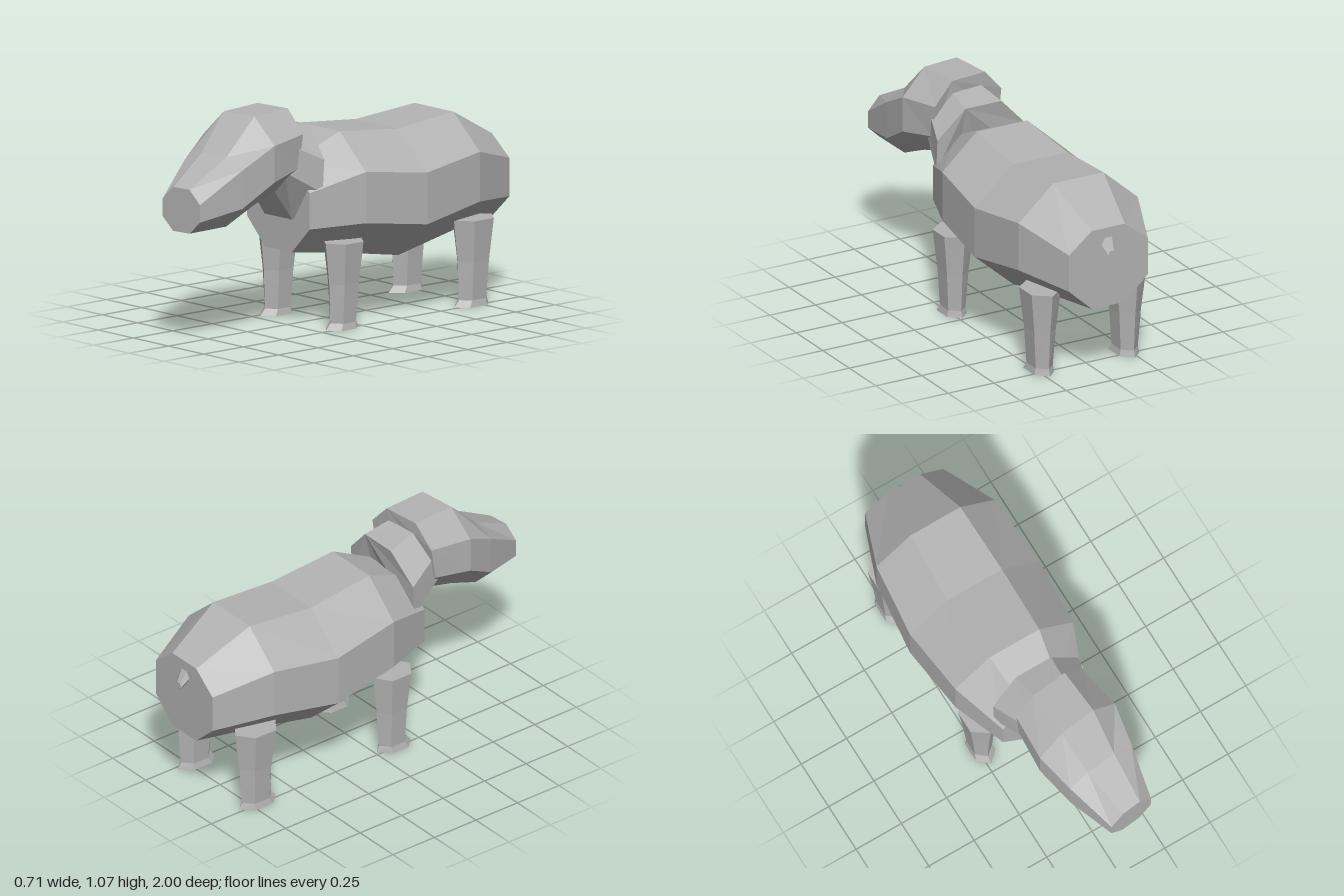
import * as THREE from 'three';

// Capped loft through rings of [x, y, z] points, anticlockwise about the loft direction
function loft(name, rings, material) {
  const pos = [];
  const n = rings[0].length;
  const tri = (a, b, c) => pos.push(...a, ...b, ...c);
  for (let i = 0; i < rings.length - 1; i++) {
    for (let j = 0; j < n; j++) {
      const k = (j + 1) % n;
      tri(rings[i][j], rings[i][k], rings[i + 1][k]);
      tri(rings[i][j], rings[i + 1][k], rings[i + 1][j]);
    }
  }
  const first = rings[0], last = rings[rings.length - 1];
  for (let j = 1; j < n - 1; j++) {
    tri(first[0], first[j + 1], first[j]);
    tri(last[0], last[j], last[j + 1]);
  }
  const g = new THREE.BufferGeometry();
  g.setAttribute('position', new THREE.Float32BufferAttribute(pos, 3));
  g.computeVertexNormals();
  const mesh = new THREE.Mesh(g, material);
  mesh.name = name;
  return mesh;
}

// Eight-sided section: half width w, flat half width f, four [y, z] levels from top to bottom
function octagon(cx, w, f, [t, u, l, b], yaw = 0) {
  const p = (dx, [y, z]) => [cx + dx, y, z - dx * yaw];
  return [p(f, t), p(-f, t), p(-w, u), p(-w, l), p(-f, b), p(f, b), p(w, l), p(w, u)];
}

const levels = (z, ys) => ys.map((y) => [y, z]);

// Six-sided horizontal section with a corner facing forward
function hexagon(y, cz, rx, rz) {
  return Array.from({ length: 6 }, (_, i) => {
    const a = (i * Math.PI) / 3;
    return [Math.sin(a) * rx, y, cz + Math.cos(a) * rz];
  });
}

export function createModel() {
  const model = new THREE.Group();
  model.name = 'animal';
  const hide = new THREE.MeshStandardMaterial({ color: 0xb3b3b3 });
  hide.name = 'greyHide';

  // Barrel body, rump to chest
  model.add(loft('body', [
    octagon(0, 0.215, 0.09, levels(-0.965, [0.77, 0.67, 0.485, 0.37])),
    octagon(0, 0.325, 0.138, levels(-0.68, [0.92, 0.755, 0.515, 0.35])),
    octagon(0, 0.357, 0.15, levels(-0.32, [0.89, 0.71, 0.46, 0.28])),
    octagon(0, 0.325, 0.138, levels(0.04, [0.925, 0.757, 0.51, 0.34])),
    octagon(0, 0.222, 0.095, levels(0.305, [0.805, 0.675, 0.5, 0.37])),
  ], hide));

  // Collar-like neck, leaning up into the head
  model.add(loft('neck', [
    octagon(0.005, 0.237, 0.098, [[0.975, 0.205], [0.83, 0.23], [0.67, 0.24], [0.53, 0.31]]),
    octagon(0.015, 0.17, 0.075, [[1.02, 0.42], [0.92, 0.43], [0.79, 0.45], [0.73, 0.455]], 0.1),
  ], hide));

  // Head, turned slightly to its left
  const yaw = 0.12;
  model.add(loft('head', [
    octagon(0.005, 0.195, 0.095, [[1.07, 0.345], [0.96, 0.35], [0.80, 0.375], [0.70, 0.375]], yaw),
    octagon(0.025, 0.222, 0.095, levels(0.575, [1.065, 0.94, 0.765, 0.64]), yaw),
    octagon(0.045, 0.182, 0.078, levels(0.755, [0.892, 0.845, 0.66, 0.56]), yaw),
    octagon(0.074, 0.117, 0.051, levels(0.985, [0.77, 0.705, 0.62, 0.558]), yaw),
  ], hide));

  // Short tail stub
  const tailRing = (y, z, rx, ry) => Array.from({ length: 6 }, (_, i) => {
    const a = (i * Math.PI) / 3;
    return [Math.cos(a) * rx, y + Math.sin(a) * ry, z];
  });
  model.add(loft('tail', [
    tailRing(0.645, -1.0, 0.022, 0.02),
    tailRing(0.7, -0.955, 0.042, 0.042),
  ], hide));

  // Four tapering legs with small feet
  for (const [end, z, stretch] of [['front', 0.1, 1], ['rear', -0.72, 1.08]]) {
    for (const [side, s] of [['Left', 1], ['Right', -1]]) {
      const leg = loft(`${end}${side}Leg`, [
        hexagon(0, 0.012, 0.062, 0.1 * stretch),
        hexagon(0.032, 0.003, 0.054, 0.08 * stretch),
        hexagon(0.22, 0, 0.068, 0.09 * stretch),
        hexagon(0.42, 0, 0.092, 0.112 * stretch),
      ], hide);
      leg.position.set(s * 0.232, 0, z);
      model.add(leg);
    }
  }
  return model;
}
